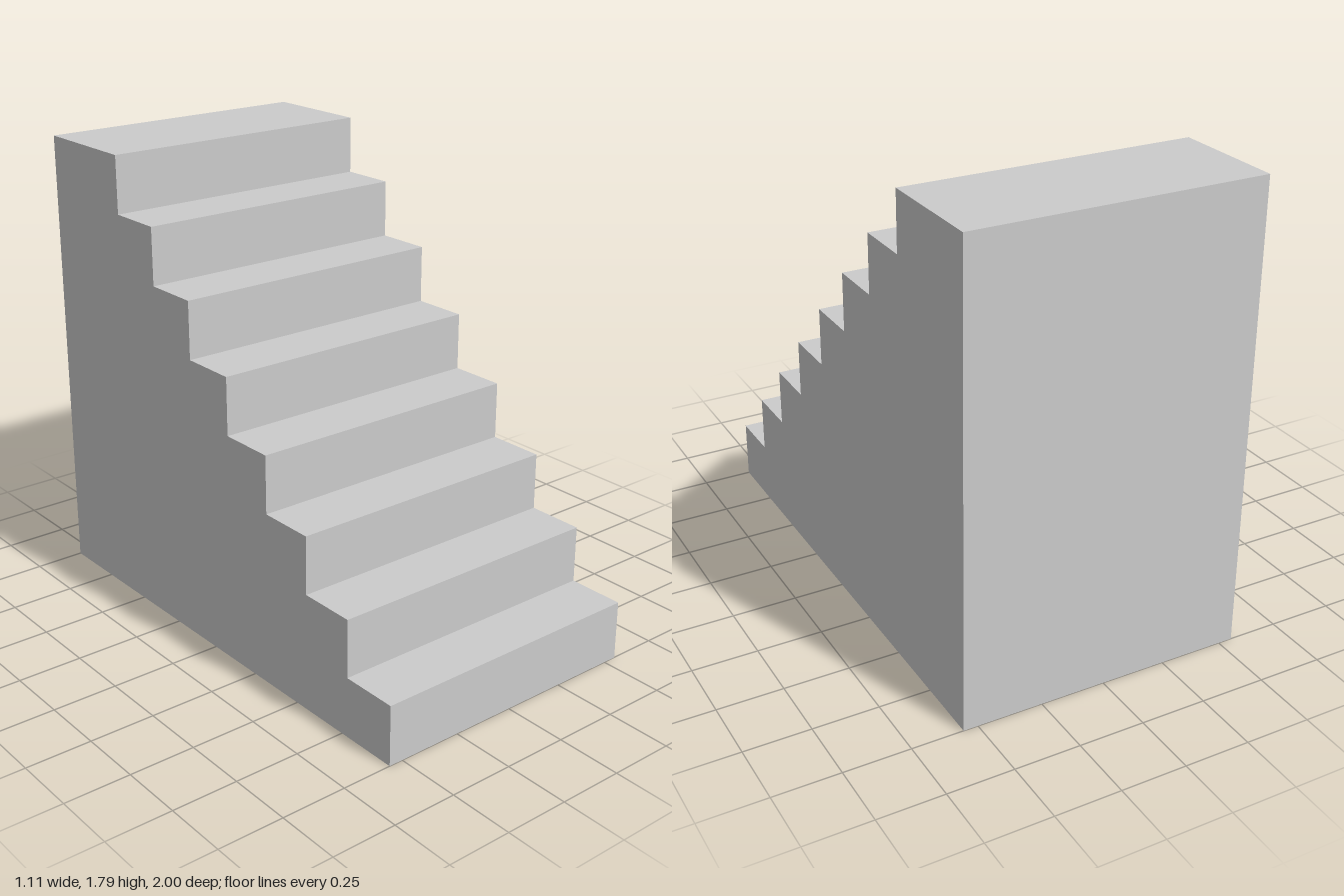
import * as THREE from 'three';

const STEPS = 8, TREAD = 2 / 9, WIDTH = 1.11, FIRST_RISE = 0.231;

export function createModel() {
  const group = new THREE.Group();
  group.name = 'staircase';

  // Side profile, running from the front foot (-1) to the back wall (+1)
  const profile = new THREE.Shape();
  profile.moveTo(-1, 0);
  for (let i = 0; i < STEPS; i++) {
    const y = FIRST_RISE + i * TREAD;
    profile.lineTo(-1 + i * TREAD, y);
    // The top step is a landing that reaches the back wall
    profile.lineTo(i === STEPS - 1 ? 1 : -1 + (i + 1) * TREAD, y);
  }
  profile.lineTo(1, 0);
  profile.closePath();

  // Solid flight of steps, turned so the foot faces +z
  const geometry = new THREE.ExtrudeGeometry(profile, { depth: WIDTH, bevelEnabled: false });
  geometry.translate(0, 0, -WIDTH / 2);
  geometry.rotateY(Math.PI / 2);

  const stairs = new THREE.Mesh(
    geometry,
    new THREE.MeshStandardMaterial({ color: 0xcccccc, flatShading: true })
  );
  stairs.name = 'solidSteps';
  group.add(stairs);
  return group;
}
